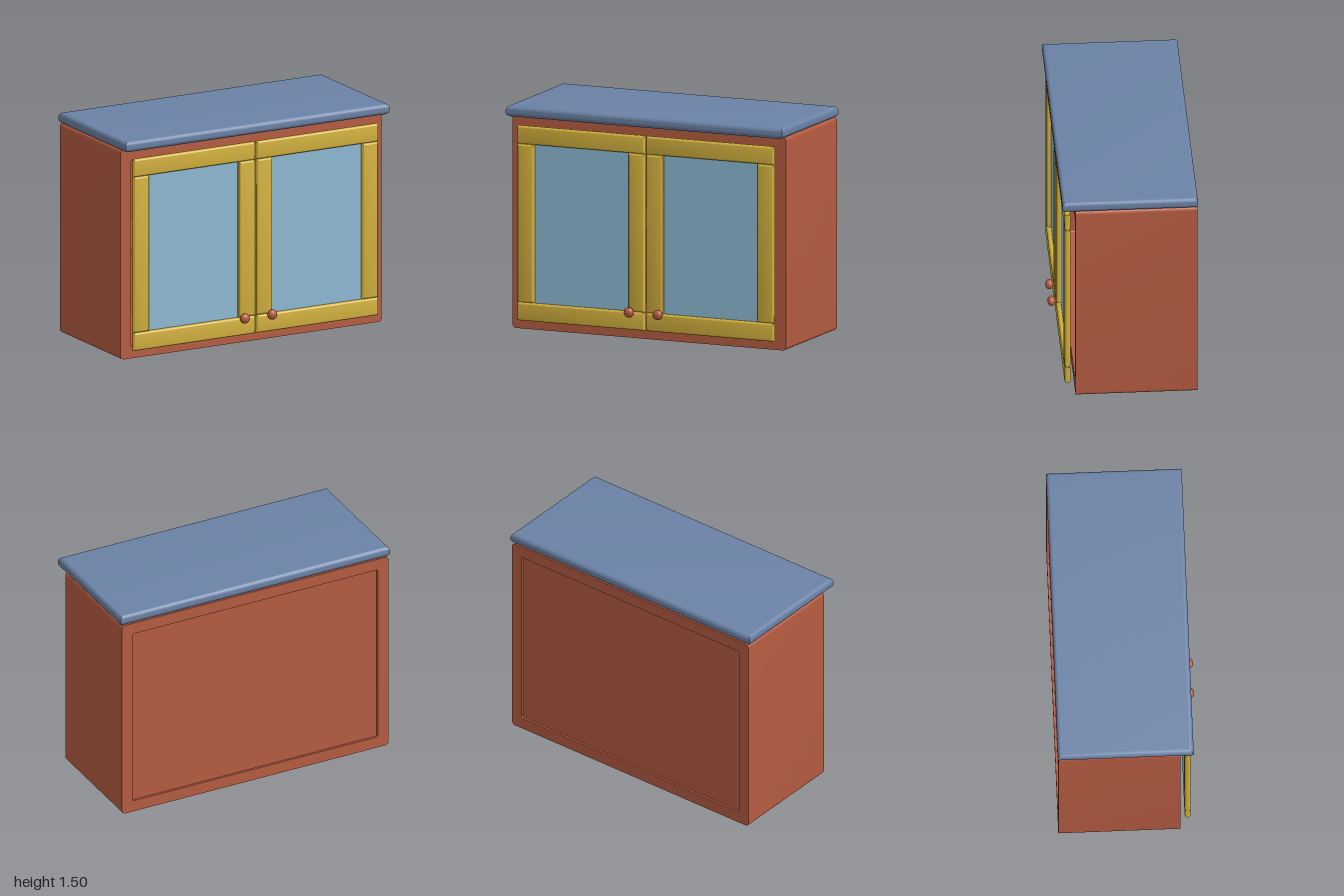
import * as THREE from 'three';
import { toCreasedNormals } from 'three/addons/utils/BufferGeometryUtils.js';

const paint = (name, color) => {
  const m = new THREE.MeshStandardMaterial({ color });
  m.name = name;
  return m;
};

// Rectangle outline with rounded corners
function roundedRect(x0, y0, x1, y1, r, Type = THREE.Shape) {
  const s = new Type();
  s.moveTo(x0 + r, y0);
  s.lineTo(x1 - r, y0);
  s.absarc(x1 - r, y0 + r, r, -Math.PI / 2, 0);
  s.lineTo(x1, y1 - r);
  s.absarc(x1 - r, y1 - r, r, 0, Math.PI / 2);
  s.lineTo(x0 + r, y1);
  s.absarc(x0 + r, y1 - r, r, Math.PI / 2, Math.PI);
  s.lineTo(x0, y0 + r);
  s.absarc(x0 + r, y0 + r, r, Math.PI, Math.PI * 1.5);
  return s;
}

// Centred slab with rounded edges and mitred corners, d thick along z
function slab(w, h, d, r) {
  const a = w / 2 - r, b = h / 2 - r;
  const s = new THREE.Shape([[-a, -b], [a, -b], [a, b], [-a, b]].map(([x, y]) => new THREE.Vector2(x, y)));
  const g = new THREE.ExtrudeGeometry(s, {
    depth: d - 2 * r, bevelEnabled: true, bevelSize: r, bevelThickness: r, bevelSegments: 6,
  });
  g.translate(0, 0, -d / 2 + r);
  return toCreasedNormals(g, 0.7);
}

export function createModel() {
  const red = paint('red wood', 0xb65c41);
  const yellow = paint('yellow wood', 0xd3b13d);
  const glass = paint('blue glass', 0x8dbad3);
  const blue = paint('blue worktop', 0x6b82a6);

  const model = new THREE.Group();
  model.name = 'cabinet';
  const add = (parent, name, geo, mat, x = 0, y = 0, z = 0) => {
    const m = new THREE.Mesh(geo, mat);
    m.name = name;
    m.position.set(x, y, z);
    parent.add(m);
    return m;
  };

  // Carcass: open box with softly rounded long edges
  const outline = roundedRect(-0.99, 0, 0.99, 1.43, 0.025);
  outline.holes.push(roundedRect(-0.91, 0.08, 0.91, 1.35, 0.01, THREE.Path));
  const carcass = new THREE.ExtrudeGeometry(outline, { depth: 0.805, bevelEnabled: false, curveSegments: 6 });
  add(model, 'carcass', toCreasedNormals(carcass, 0.7), red, 0, 0, -0.465);
  add(model, 'backPanel', new THREE.BoxGeometry(1.83, 1.28, 0.03), red, 0, 0.715, -0.435);
  add(model, 'shelf', new THREE.BoxGeometry(1.82, 0.04, 0.7), red, 0, 0.7, -0.08);

  // Worktop
  const top = add(model, 'worktop', slab(2, 0.895, 0.075, 0.03), blue, 0, 1.4655, -0.02);
  top.rotation.x = -Math.PI / 2;

  // Pair of glazed doors
  const z = 0.39, t = 0.04, r = 0.018;
  for (const side of [-1, 1]) {
    const door = new THREE.Group();
    door.name = side > 0 ? 'leftDoor' : 'rightDoor';
    model.add(door);
    const mid = side * 0.4675;
    for (const [name, y] of [['bottomRail', 0.126], ['topRail', 1.31]])
      add(door, name, slab(0.925, 0.122, t, r), yellow, mid, y, z);
    for (const [name, x] of [['innerStile', 0.066], ['outerStile', 0.869]])
      add(door, name, slab(0.122, 1.062, t, r), yellow, side * x, 0.718, z);
    add(door, 'glassPane', new THREE.BoxGeometry(0.72, 1.1, 0.009), glass, mid, 0.718, 0.375);

    // Knob on a short stem
    const kx = side * 0.104;
    const stem = add(door, 'knobStem', new THREE.CylinderGeometry(0.012, 0.012, 0.07, 16), red, kx, 0.188, 0.4);
    stem.rotation.x = Math.PI / 2;
    const knob = add(door, 'knob', new THREE.SphereGeometry(0.034, 24, 16), red, kx, 0.188, 0.44);
    knob.scale.z = 0.77;
  }
  return model;
}
